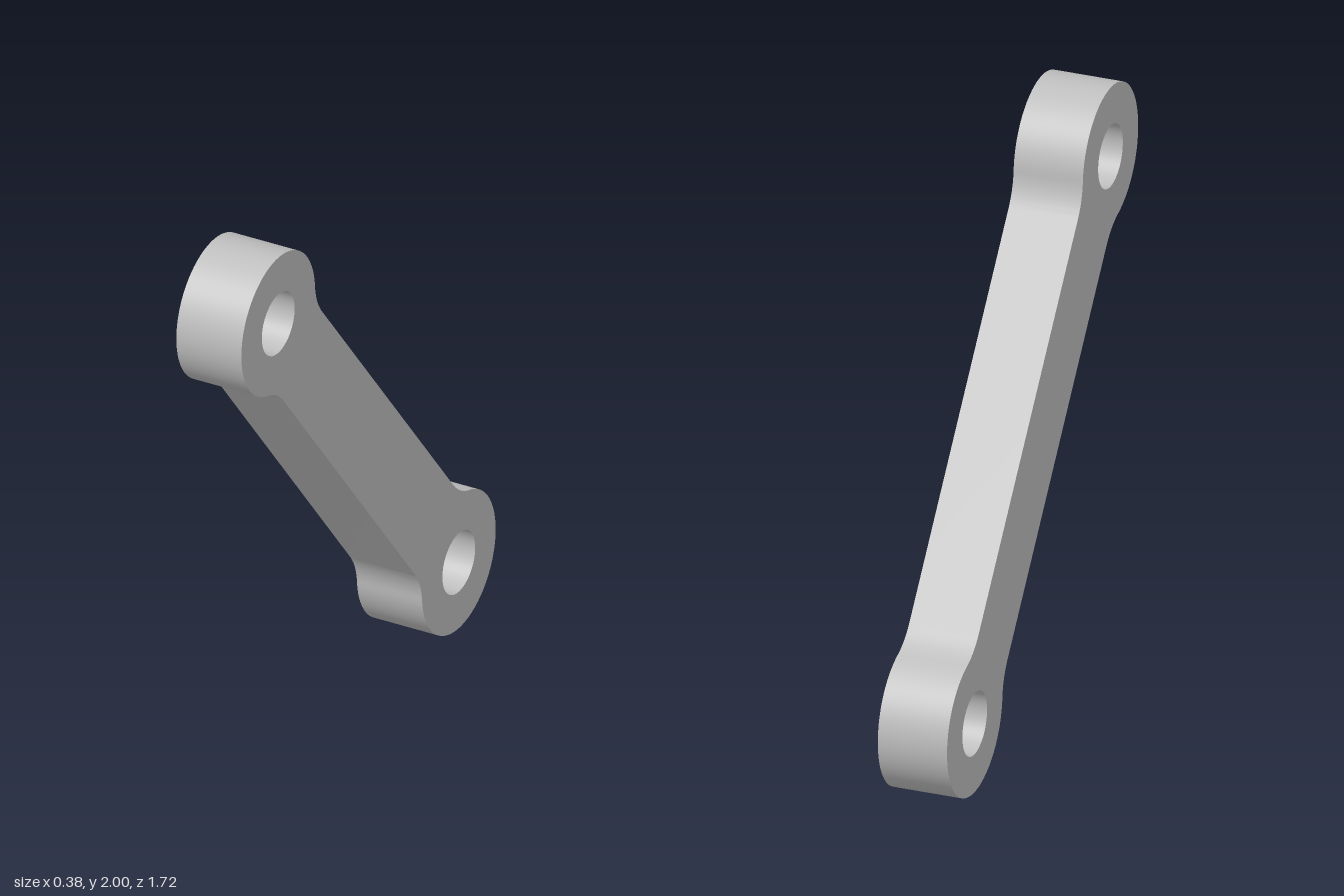
import * as THREE from 'three';
import { toCreasedNormals } from 'three/addons/utils/BufferGeometryUtils.js';

const HALF_SPAN = 0.966;   // centre of the link to each eye
const EYE = 0.247;         // eye outer radius
const HOLE = 0.11;         // pin hole radius
const BAR = 0.165;         // half width of the bar
const FILLET = 0.21;       // blend between eye and bar
const THICK = 0.242;

// points along an arc; trim leaves out both end points
function arc(cx, cy, r, a0, a1, n, trim = false) {
  const pts = [];
  for (let i = trim ? 1 : 0; i <= (trim ? n - 1 : n); i++) {
    const a = a0 + (a1 - a0) * i / n;
    pts.push(new THREE.Vector2(cx + r * Math.cos(a), cy + r * Math.sin(a)));
  }
  return pts;
}

export function createModel() {
  const steel = new THREE.MeshStandardMaterial({ color: 0xc0c0c0 });
  steel.name = 'plain grey';

  // outline: two round eyes joined to a straight bar by concave fillets
  const rise = BAR + FILLET;
  const run = Math.sqrt((EYE + FILLET) ** 2 - rise ** 2);
  const phi = Math.atan2(rise, run);
  const fx = HALF_SPAN - run;
  const PI = Math.PI;
  const shape = new THREE.Shape([
    ...arc(HALF_SPAN, 0, EYE, phi - PI, PI - phi, 64, true),
    ...arc(fx, rise, FILLET, -phi, -PI / 2, 12),
    ...arc(-fx, rise, FILLET, -PI / 2, phi - PI, 12),
    ...arc(-HALF_SPAN, 0, EYE, phi, 2 * PI - phi, 64, true),
    ...arc(-fx, -rise, FILLET, PI - phi, PI / 2, 12),
    ...arc(fx, -rise, FILLET, PI / 2, phi, 12),
  ]);

  // pin holes
  for (const s of [-1, 1]) {
    shape.holes.push(new THREE.Path(arc(s * HALF_SPAN, 0, HOLE, 0, -2 * PI, 48).slice(0, -1)));
  }

  // thickness runs across x; the link leans forward and is turned slightly
  const solid = new THREE.ExtrudeGeometry(shape, { depth: THICK, bevelEnabled: false });
  solid.translate(0, 0, -THICK / 2);
  solid.rotateZ(PI / 2 + Math.atan2(0.605, 0.753));
  solid.rotateY(PI / 2 + 0.079);
  solid.translate(0, 1, 0);

  const link = new THREE.Mesh(toCreasedNormals(solid, 0.5), steel);
  link.name = 'linkArm';

  const model = new THREE.Group();
  model.name = 'connectingLink';
  model.add(link);
  return model;
}
